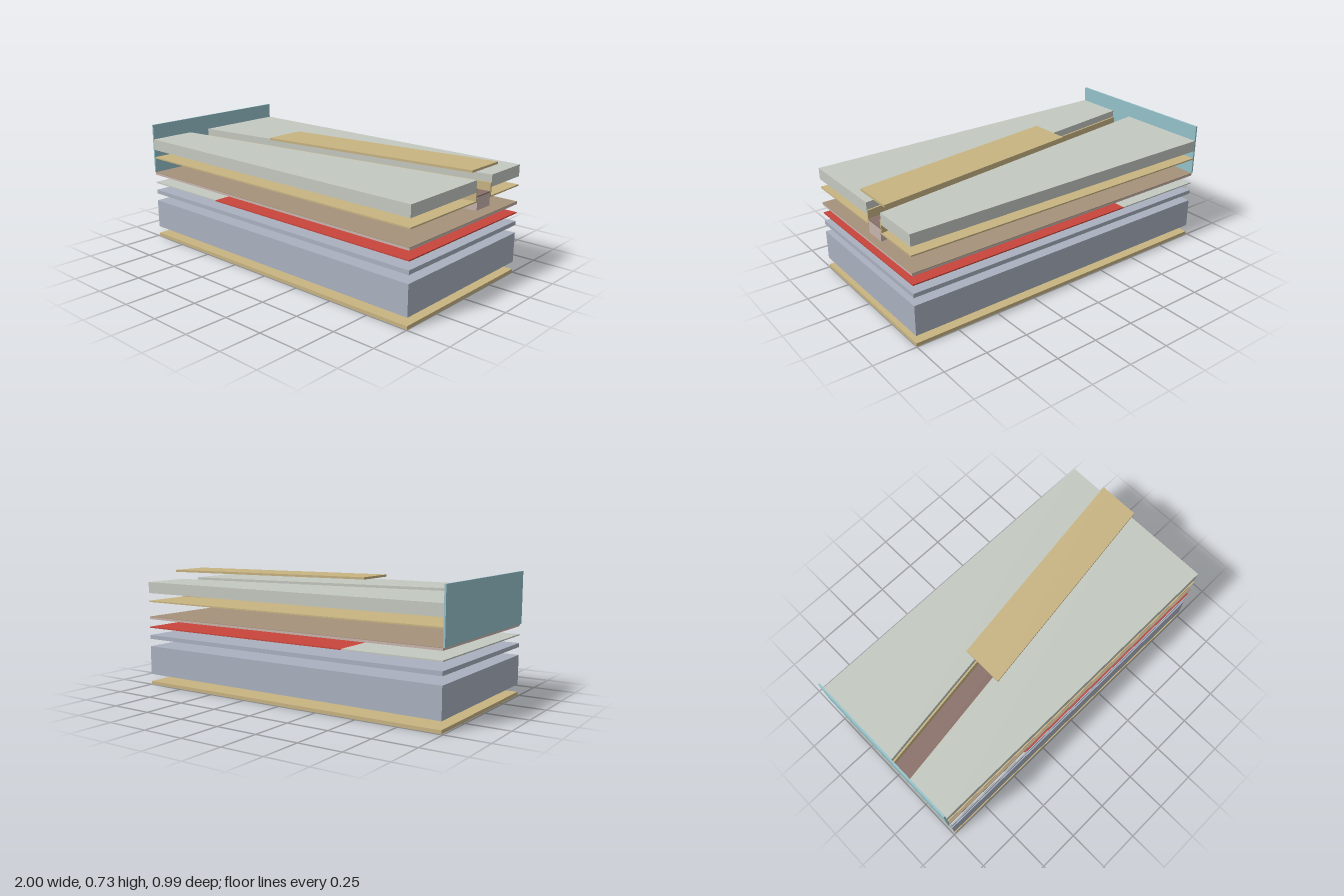
import * as THREE from 'three';

const mat = (name, hex) => {
  const m = new THREE.MeshStandardMaterial({ color: hex });
  m.name = name;
  return m;
};

export function createModel() {
  const model = new THREE.Group();
  model.name = 'explodedLayerPanel';

  const gold = mat('gold', 0xc8b482);
  const blue = mat('blueGrey', 0xa9b0bf);
  const grey = mat('paleGrey', 0xc3c8c0);
  const pink = mat('palePink', 0xc8b4ac);
  const mauve = mat('mauve', 0x8a706a);
  const brown = mat('tanBrown', 0xa6927a);
  const red = mat('red', 0xc8463c);
  const teal = mat('teal', 0x94c1c9);

  const X0 = -0.99, X1 = 1, Z = 0.497;

  // upright prism over a list of [x, z] corners
  function prism(name, material, corners, y0, y1) {
    const shape = new THREE.Shape(corners.map(([x, z]) => new THREE.Vector2(x, -z)));
    const geo = new THREE.ExtrudeGeometry(shape, { depth: y1 - y0, bevelEnabled: false });
    geo.rotateX(-Math.PI / 2);
    const mesh = new THREE.Mesh(geo, material);
    mesh.name = name;
    mesh.position.y = y0;
    model.add(mesh);
  }

  const slab = (name, material, y0, y1, x0 = X0, x1 = X1) =>
    prism(name, material, [[x0, -Z], [x1, -Z], [x1, Z], [x0, Z]], y0, y1);

  // centre line of the oblique slot
  const mid = (x) => -0.1375 + (1 - x) * 0.1385;
  // strip following the slot between two offsets from its centre line
  const strip = (name, material, a, b, y0, y1, x0 = X0, x1 = X1) =>
    prism(name, material,
      [[x0, mid(x0) + a], [x1, mid(x1) + a], [x1, mid(x1) + b], [x0, mid(x0) + b]], y0, y1);

  // flat layers from the bottom up
  slab('baseSheet', gold, 0, 0.02);
  slab('coreBlock', blue, 0.065, 0.24);
  slab('thinBoard', blue, 0.286, 0.31);
  slab('membraneEnd', grey, 0.355, 0.362, X0, -0.41);
  slab('membrane', red, 0.355, 0.362, -0.41, X1);
  slab('middleSheet', pink, 0.409, 0.422);
  slab('middleSheetTop', brown, 0.422, 0.425);

  // oblique bar with dark top
  strip('bar', pink, -0.062, 0.062, 0.47, 0.542);
  strip('barTop', mauve, -0.062, 0.062, 0.542, 0.549);

  // slotted sheet with upturned flanges, and the cover halves, mirrored about the slot
  const outer = 0.0735, inner = 0.0635;
  for (const [side, s] of [['Front', 1], ['Back', -1]]) {
    const half = (name, material, gap, y0, y1) => prism(name + side, material,
      [[X0, mid(X0) + s * gap], [X1, mid(X1) + s * gap], [X1, s * Z], [X0, s * Z]], y0, y1);
    half('flangedSheet', gold, outer, 0.515, 0.523);
    strip('flange' + side, gold, s * inner, s * outer, 0.515, 0.595);
    half('cover', grey, outer, 0.57, 0.637);
  }

  // plank above the slot
  strip('coverPlank', gold, -0.125, 0.122, 0.685, 0.698, -0.292, X1);

  // end plate
  slab('endPlate', teal, 0.424, 0.728, -1, X0);

  return model;
}
